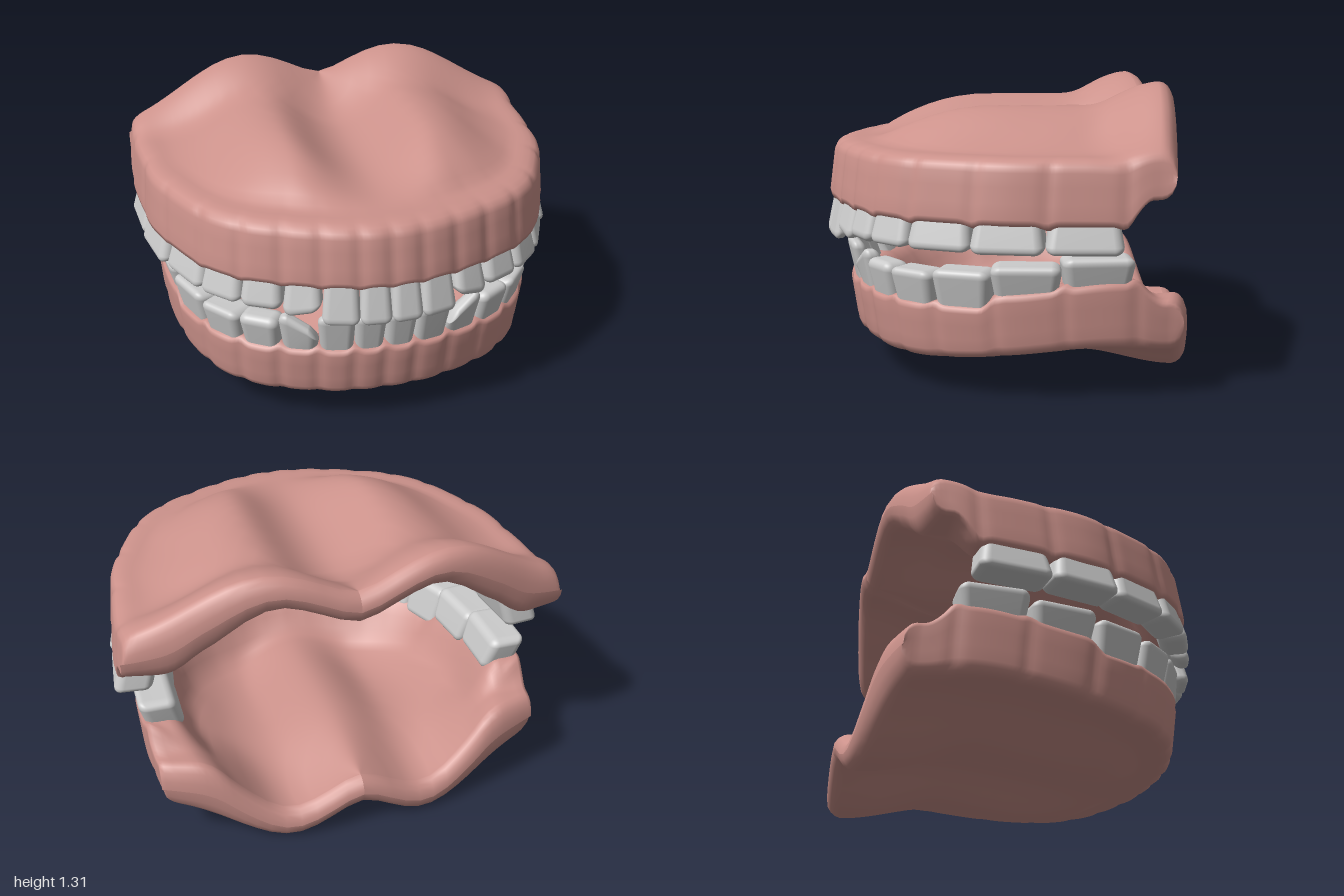
import * as THREE from 'three';
import { mergeVertices } from 'three/addons/utils/BufferGeometryUtils.js';
import { RoundedBoxGeometry } from 'three/addons/geometries/RoundedBoxGeometry.js';

const gumMat = new THREE.MeshStandardMaterial({ color: 0xcc928b });
const toothMat = new THREE.MeshStandardMaterial({ color: 0xcccccc });
const { lerp } = THREE.MathUtils;
const sm = (a, b, v) => {
  const t = Math.min(1, Math.max(0, (v - a) / (b - a)));
  return t * t * (3 - 2 * t);
};
// twin hump across x, with its own inner and outer falloff
const hump = (x, peak, inner, outer) => {
  const a = Math.hypot(x, 0.06);
  return Math.exp(-(((a - peak) / (a < peak ? inner : outer)) ** 2));
};

const upper = {
  name: 'upper', sign: 1,
  arch: [[0, 0.835], [0.13, 0.825], [0.3, 0.78], [0.45, 0.72], [0.62, 0.63], [0.76, 0.49], [0.86, 0.3],
    [0.94, 0.1], [0.97, -0.1], [0.998, -0.4], [0.99, -0.548]],
  backZ: x => -0.675 + 0.13 * x * x,
  rim: z => 1.045 - 0.03 * sm(-0.25, -0.42, z),
  edge: z => 0.77 + 0.11 * sm(-0.39, -0.52, z),
  mid: x => 0.165 * hump(x, 0.35, 0.2, 0.34),
  back: x => 0.3 * hump(x, 0.4, 0.46, 0.44),
  widths: [0.14, 0.165, 0.17, 0.19, 0.215, 0.285, 0.31, 0.325],
  tips: [0.6, 0.6, 0.63, 0.65, 0.65, 0.65, 0.65, 0.65],
  canineCut: 0.04,
};
const lower = {
  name: 'lower', sign: -1,
  arch: [[0, 0.745], [0.2, 0.73], [0.4, 0.67], [0.55, 0.6], [0.7, 0.47], [0.8, 0.3], [0.87, 0.1],
    [0.9, -0.1], [0.91, -0.4], [0.88, -0.62]],
  backZ: x => -0.775 + 0.2 * x * x,
  rim: z => 0.15 + 0.09 * sm(0.6, -0.5, z),
  edge: z => 0.415 + 0.06 * sm(0.17, 0.07, z) + 0.05 * sm(0.1, -0.4, z) - 0.09 * sm(-0.45, -0.6, z),
  mid: x => 0.14 * hump(x, 0.33, 0.2, 0.34),
  back: x => 0.24 * hump(x, 0.33, 0.3, 0.34),
  widths: [0.14, 0.165, 0.175, 0.19, 0.22, 0.26, 0.3, 0.31],
  tips: [0.59, 0.59, 0.59, 0.56, 0.56, 0.575, 0.6, 0.635],
  canineCut: 0.11,
};
const depths = [0.09, 0.09, 0.11, 0.13, 0.15, 0.16, 0.17, 0.17];

function archCurve(jaw) {
  const right = jaw.arch.slice(1).map(([x, z]) => [-x, z]);
  const pts = [...jaw.arch].reverse().concat(right);
  return new THREE.CatmullRomCurve3(pts.map(([x, z]) => new THREE.Vector3(x, 0, z)));
}

// Gum: closed shell, fanned from the back centre out to the arch
function makeGum(jaw, curve) {
  const { sign } = jaw, length = curve.getLength(), N = 220;
  const seams = [0];
  jaw.widths.forEach(w => seams.push(seams.at(-1) + w));

  // rows run over the outer skin, round the wall, and back along the inner skin
  const radii = [0, 0.08, 0.16, 0.24, 0.32, 0.4, 0.48, 0.55, 0.61, 0.66, 0.7, 0.74, 0.78, 0.81, 0.84, 0.87, 0.9, 0.93];
  const rows = [...radii.map(r => [r, 0]), [0.96, 0.015], [0.982, 0.05], [0.995, 0.11], [1, 0.2], [1, 0.4], [1, 0.65],
    [1, 0.88], [0.995, 0.96], [0.975, 1], ...[...radii].reverse().map(r => [r, 1])];

  // stations along the arch; the extra end ones close the rounded back lip
  const stations = [];
  for (let i = 0; i <= N; i++) stations.push([i / N, 1, 0]);
  for (const [k, push] of [[0.93, 0.02], [0.75, 0.04], [0.4, 0.056], [0, 0.06]]) {
    stations.unshift([0, k, push]);
    stations.push([1, k, push]);
  }

  const pos = [], index = [];
  for (const [u, k, push] of stations) {
    const p = curve.getPointAt(u);
    const s = Math.abs(u - 0.5) * length;
    const reach = Math.hypot(p.x, p.z - jaw.backZ(0));
    let dip = 0;
    for (const b of seams) dip = Math.max(dip, Math.exp(-(((s - b) / 0.03) ** 2)));
    for (const [r0, t] of rows) {
      const r = r0 * (1 - (0.006 * dip + 0.025 * (1 - t)) * sm(0.8, 1, r0));
      const x = r * p.x, zb = jaw.backZ(x);
      const z = zb + r * (p.z - jaw.backZ(p.x));
      const inset = (1 - r0) * reach;
      const rise = Math.min(1, Math.max(0, (inset - 0.17) / 0.45));
      const back = sm(-0.25, zb, z);
      const dome = lerp(jaw.mid(x) * (1 - (1 - rise) ** 2), jaw.back(x), back);
      const outer = jaw.rim(z) + sign * dome;
      const thick = 0.09 + back * (0.05 + 0.1 * sm(0.3, 0.65, Math.abs(x)));
      const edge = jaw.edge(z) - sign * 0.016 * dip * sm(0.15, 0.03, inset);
      const inner = lerp(outer - sign * thick, edge, sm(0.34, 0.13, inset));
      const y = lerp((outer + inner) / 2, lerp(outer, inner, t), k);
      pos.push(x, y, z - push);
    }
  }
  const M = rows.length;
  for (let i = 0; i < stations.length - 1; i++) {
    for (let j = 0; j < M - 1; j++) {
      const a = i * M + j, b = a + M, c = a + 1, d = b + 1;
      if (sign > 0) index.push(a, b, c, b, d, c);
      else index.push(a, c, b, b, c, d);
    }
  }
  const geo = new THREE.BufferGeometry();
  geo.setAttribute('position', new THREE.Float32BufferAttribute(pos, 3));
  geo.setIndex(index);
  geo.computeVertexNormals();
  const mesh = new THREE.Mesh(geo, gumMat);
  mesh.name = jaw.name + 'Gum';
  return mesh;
}

// Tooth: rounded block, narrower at the neck, shaped by its place in the row
function toothGeometry(jaw, n, w, h, d, side) {
  let geo = new RoundedBoxGeometry(w * 0.98, h, d, 5, Math.min(0.042, d * 0.4));
  const p = geo.attributes.position;
  for (let i = 0; i < p.count; i++) {
    let x = p.getX(i), y = p.getY(i), z = p.getZ(i);
    const t = 0.5 - jaw.sign * y / h; // 0 at the root, 1 at the tip
    const toMiddle = Math.max(0, 0.5 - side * x / w); // 1 on the edge nearest the mouth's middle
    x *= lerp(0.88, 1, sm(0.1, 0.7, t));
    if (n < 3) z = d / 2 - (d / 2 - z) * lerp(1.1, 0.65, t);
    if (n === 2) y += jaw.sign * jaw.canineCut * toMiddle ** 2 * sm(0.4, 1, t);
    if (n > 3) y += jaw.sign * 0.015 * (1 - Math.min(1, Math.abs(z) / (d / 2))) * sm(0.8, 1, t);
    z += lerp(-0.035, 0.015, t); // lean the crown outwards
    p.setXYZ(i, x, y, z);
  }
  geo.deleteAttribute('normal');
  geo.deleteAttribute('uv');
  geo = mergeVertices(geo, 1e-4);
  geo.computeVertexNormals();
  return geo;
}

function makeTeeth(jaw, curve) {
  const group = new THREE.Group();
  group.name = jaw.name + 'Teeth';
  const length = curve.getLength();
  let s = 0;
  jaw.widths.forEach((w, n) => {
    const d = depths[n], tip = jaw.tips[n], mid = s + w / 2;
    s += w;
    for (const side of [1, -1]) {
      const u = 0.5 - side * mid / length;
      const p = curve.getPointAt(u), t = curve.getTangentAt(u);
      const out = new THREE.Vector3(-t.z, 0, t.x);
      if (out.dot(p) < 0) out.negate();
      const root = jaw.edge(p.z) + jaw.sign * 0.06;
      const tooth = new THREE.Mesh(toothGeometry(jaw, n, w, Math.abs(root - tip), d, side), toothMat);
      tooth.name = `${jaw.name}${side > 0 ? 'Left' : 'Right'}Tooth${n + 1}`;
      tooth.position.copy(p).addScaledVector(out, -d / 2);
      tooth.position.y = (root + tip) / 2;
      tooth.rotation.y = Math.atan2(out.x, out.z);
      group.add(tooth);
    }
  });
  return group;
}

export function createModel() {
  const model = new THREE.Group();
  model.name = 'dentures';
  for (const jaw of [upper, lower]) {
    const curve = archCurve(jaw);
    const part = new THREE.Group();
    part.name = jaw.name + 'Jaw';
    part.add(makeGum(jaw, curve), makeTeeth(jaw, curve));
    model.add(part);
  }
  return model;
}
